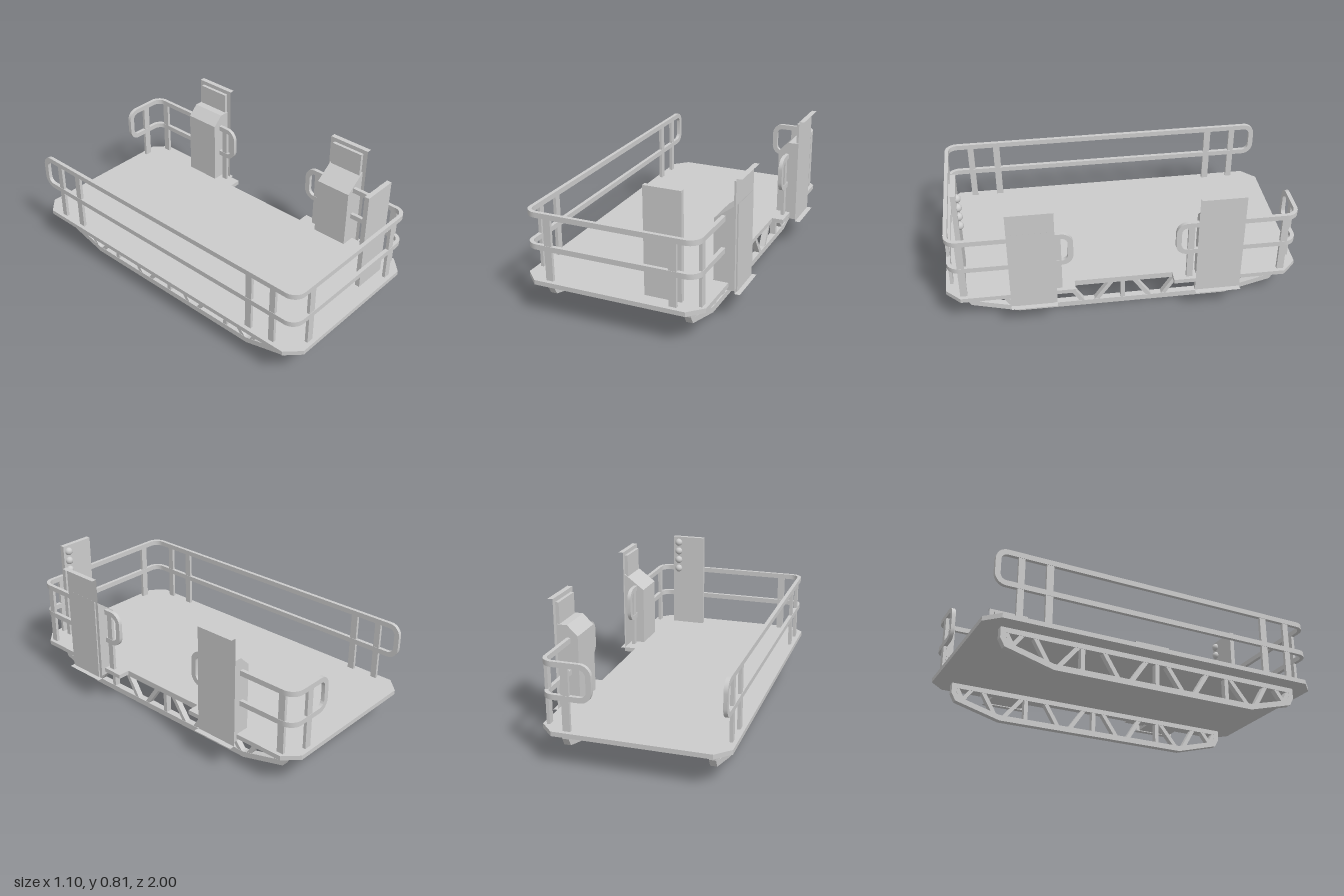
import * as THREE from 'three';
import { toCreasedNormals } from 'three/addons/utils/BufferGeometryUtils.js';

const grey = new THREE.MeshStandardMaterial({ color: 0xcccccc });
const thin = new THREE.MeshStandardMaterial({ color: 0xcccccc, side: THREE.DoubleSide });

export function createModel() {
  const model = new THREE.Group();

  const add = (name, geometry, parent = model, material = grey) => {
    const mesh = new THREE.Mesh(geometry, material);
    mesh.name = name;
    parent.add(mesh);
    return mesh;
  };
  const group = (name) => {
    const g = new THREE.Group();
    g.name = name;
    model.add(g);
    return g;
  };
  // box given by its lower and upper corners
  const box = (name, x0, x1, y0, y1, z0, z1, parent) => {
    const mesh = add(name, new THREE.BoxGeometry(x1 - x0, y1 - y0, z1 - z0), parent);
    mesh.position.set((x0 + x1) / 2, (y0 + y1) / 2, (z0 + z1) / 2);
    return mesh;
  };
  const shapeOf = (pts) => new THREE.Shape(pts.map(([x, y]) => new THREE.Vector2(x, y)));
  const extrude = (shape, depth) => new THREE.ExtrudeGeometry(shape, { depth, bevelEnabled: false });

  // Deck: chamfered corners and a shallow entrance recess on the left
  const deckTop = 0.207;
  const deck = extrude(shapeOf([
    [-0.47, -1], [0.395, -1], [0.475, -0.92], [0.475, -0.28], [0.405, -0.28], [0.405, 0.28],
    [0.475, 0.28], [0.475, 0.92], [0.395, 1], [-0.47, 1], [-0.55, 0.92], [-0.55, -0.92],
  ]), 0.026);
  deck.rotateX(Math.PI / 2);
  deck.translate(0, deckTop, 0);
  add('deck', deck);

  // Truss skids under the deck, drawn in (z, y)
  const outline = shapeOf([
    [-0.6, 0], [0.6, 0], [0.87, 0.075], [0.895, 0.12], [0.895, 0.182], [-0.895, 0.182], [-0.895, 0.12], [-0.87, 0.075],
  ]);
  outline.holes.push(shapeOf([
    [-0.6, 0.034], [0.6, 0.034], [0.845, 0.1], [0.865, 0.125], [0.865, 0.152], [-0.865, 0.152], [-0.865, 0.125], [-0.845, 0.1],
  ]));
  // [z at top, z at bottom, y at bottom]
  const halfStruts = [[0.06, 0.16, 0.02], [0.32, 0.23, 0.02], [0.44, 0.44, 0.02], [0.46, 0.58, 0.02],
    [0.71, 0.63, 0.03], [0.77, 0.83, 0.085], [0.87, 0.825, 0.085]];
  const struts = [[0, 0, 0.02], ...halfStruts, ...halfStruts.map(([a, b, y]) => [-a, -b, y])];
  for (const x of [-0.438, 0.363]) {
    const skid = group(x > 0 ? 'leftSkid' : 'rightSkid');
    const frame = extrude(outline, 0.038);
    frame.rotateY(-Math.PI / 2);
    frame.translate(x + 0.019, 0, 0);
    add('skidFrame', frame, skid);
    for (const [zt, zb, yb] of struts) {
      const dz = zt - zb, dy = 0.165 - yb;
      const strut = add('strut', new THREE.BoxGeometry(0.034, Math.hypot(dz, dy), 0.024), skid);
      strut.position.set(x, (0.165 + yb) / 2, (zt + zb) / 2);
      strut.rotation.x = Math.atan2(dz, dy);
    }
  }

  // Rail: a closed loop in (distance along plan, height), bent along the plan path
  const railTop = 0.57, railMid = 0.39, hw = 0.011, hh = 0.015;
  function railLoop(plan, steps) {
    const L = plan.getLength(), r = 0.05, pts = [];
    const s0 = hh + r, s1 = L - hh - r;
    const corner = (s, y, a0) => {
      for (let i = 0; i <= 8; i++) {
        const a = a0 + (i / 8) * Math.PI / 2;
        pts.push([s + r * Math.cos(a), y + r * Math.sin(a), Math.cos(a), Math.sin(a)]);
      }
    };
    const run = (from, to, y, n) => {
      for (let i = 1; i < steps; i++) pts.push([from + (to - from) * i / steps, y, 0, n]);
    };
    corner(s1, railTop - r, 0);
    run(s1, s0, railTop, 1);
    corner(s0, railTop - r, Math.PI / 2);
    corner(s0, railMid + r, Math.PI);
    run(s0, s1, railMid, -1);
    corner(s1, railMid + r, Math.PI * 1.5);

    const position = [], index = [];
    pts.forEach(([s, y, ns, ny], i) => {
      for (const [a, b] of [[hw, hh], [-hw, hh], [-hw, -hh], [hw, -hh]]) {
        const u = THREE.MathUtils.clamp((s + ns * b) / L, 0, 1);
        const p = plan.getPoint(u), t = plan.getTangent(u);
        position.push(p.x - t.y * a, y + ny * b, p.y + t.x * a);
      }
      const j = (i + 1) % pts.length;
      for (let k = 0; k < 4; k++) {
        const m = (k + 1) % 4;
        index.push(i * 4 + k, i * 4 + m, j * 4 + m, i * 4 + k, j * 4 + m, j * 4 + k);
      }
    });
    const g = new THREE.BufferGeometry();
    g.setAttribute('position', new THREE.Float32BufferAttribute(position, 3));
    g.setIndex(index);
    return toCreasedNormals(g, 0.6);
  }

  const xR = -0.519, xL = 0.444, zF = 0.967, c = 0.06;
  const mainPlan = new THREE.Path();
  mainPlan.moveTo(xR, -0.968);
  mainPlan.lineTo(xR, zF - c);
  mainPlan.absarc(xR + c, zF - c, c, Math.PI, Math.PI / 2, true);
  mainPlan.lineTo(xL - c, zF);
  mainPlan.absarc(xL - c, zF - c, c, Math.PI / 2, 0, true);
  mainPlan.lineTo(xL, 0.285);
  const backPlan = new THREE.Path();
  backPlan.moveTo(xL, -0.285);
  backPlan.lineTo(xL, -zF + c);
  backPlan.absarc(xL - c, -zF + c, c, 0, -Math.PI / 2, true);
  backPlan.lineTo(0.17, -zF);
  const railing = group('railing');
  add('mainRail', railLoop(mainPlan, 260), railing);
  add('backCornerRail', railLoop(backPlan, 80), railing);

  // Flat posts, wide along the rail
  const post = (x, z, wx, wz) => box('railPost', x - wx, x + wx, deckTop, railTop, z - wz, z + wz, railing);
  for (const s of [-1, 1]) {
    post(xR, s * 0.825, 0.009, 0.018);
    post(xR, s * 0.667, 0.009, 0.02);
    post(xL, s * 0.9, 0.009, 0.02);
    post(xL, s * 0.37, 0.009, 0.018);
    post(0.317, s * zF, 0.021, 0.009);
  }
  post(-0.39, zF, 0.021, 0.009);

  // Control board with round buttons facing the deck
  const board = group('controlBoard');
  box('boardPanel', 0.133, 0.341, deckTop, 0.806, 0.888, 0.916, board);
  for (let i = 0; i < 4; i++) {
    const button = add('button', new THREE.SphereGeometry(0.024, 20, 14), board);
    button.position.set(0.305, 0.768 - i * 0.06, 0.886);
  }

  // Drive cabinets beside the entrance, each with a mast guide behind it
  const cabinets = [
    ['frontDrive', 0.515, [[0.39, 0.165], [0.525, 0.165], [0.525, 0.66], [0.39, 0.56]]],
    ['backDrive', -0.52, [[0.39, 0.165], [0.512, 0.165], [0.512, 0.655], [0.45, 0.655], [0.39, 0.597]]],
  ];
  for (const [name, z, profile] of cabinets) {
    const drive = group(name);
    const body = extrude(shapeOf(profile), 0.216);
    body.translate(0, 0, z - 0.108);
    add('cabinet', body, drive);
    box('mastBacking', 0.496, 0.516, 0.165, 0.776, z - 0.1, z + 0.1, drive);
    // Thin channel: upright sheet with flanges turned outward
    const sheet = add('guideSheet', new THREE.PlaneGeometry(0.256, 0.64), drive, thin);
    sheet.rotation.y = Math.PI / 2;
    sheet.position.set(0.517, 0.48, z);
    for (const y of [0.16, 0.8]) {
      const flange = add('guideFlange', new THREE.PlaneGeometry(0.03, 0.256), drive, thin);
      flange.rotation.x = -Math.PI / 2;
      flange.position.set(0.532, y, z);
    }
  }
  return model;
}
